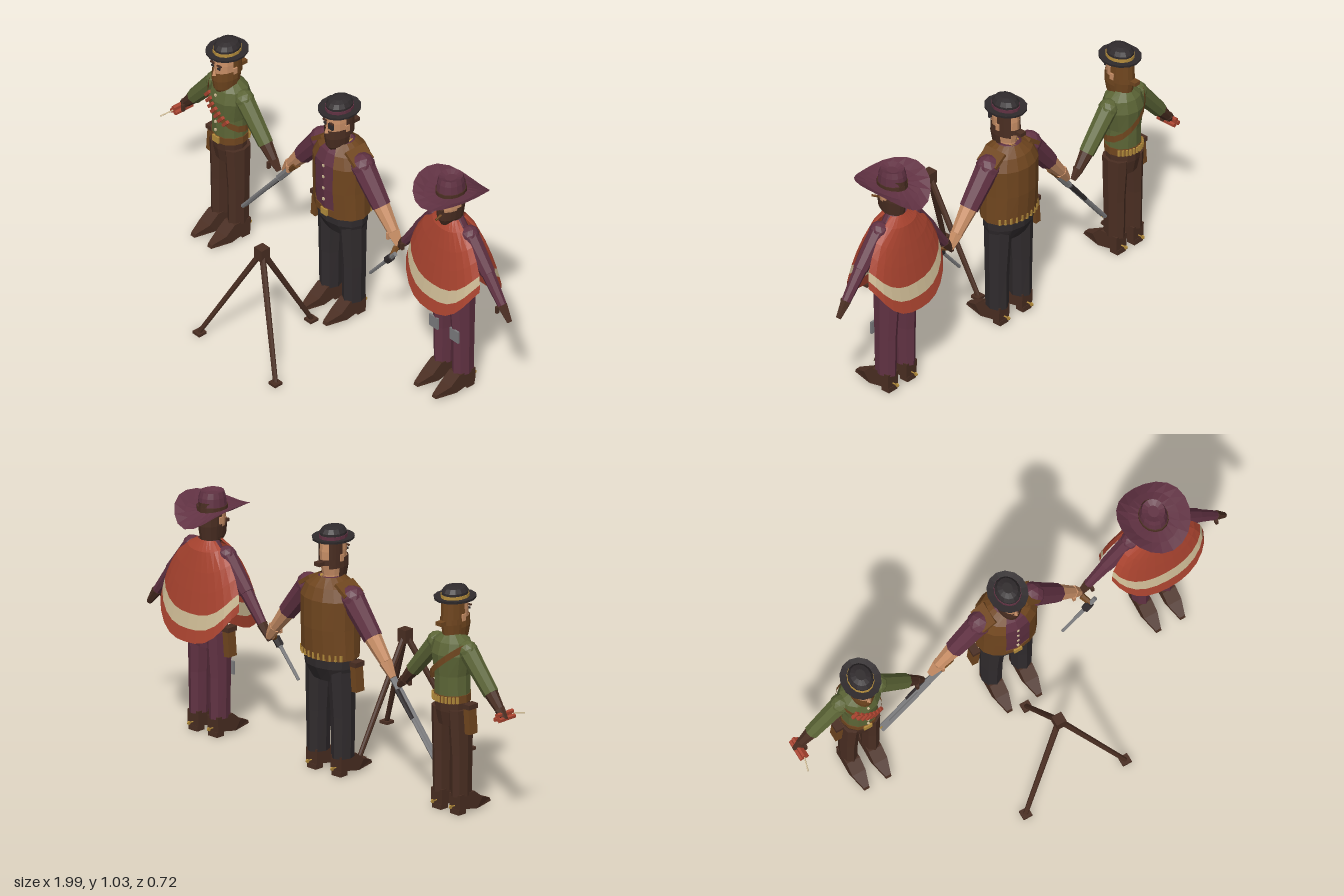
import * as THREE from 'three';

const mat = (name, color) => new THREE.MeshStandardMaterial({ name, color, flatShading: true, side: THREE.DoubleSide });
const V = (x, y, z = 0) => new THREE.Vector3(x, y, z);

export function createModel() {
  const M = {
    plum: mat('plum', 0x613243), red: mat('red', 0xa9432f), cream: mat('cream', 0xcdba94),
    olive: mat('olive', 0x5c6536), tan: mat('tan leather', 0x70461f), brown: mat('dark brown', 0x4a2e22),
    coal: mat('charcoal', 0x302b2d), skin: mat('skin', 0xc98f66), steel: mat('steel', 0x7c7c7e), gold: mat('brass', 0xb58d3c),
  };

  const put = (parent, name, geo, m, x = 0, y = 0, z = 0) => {
    const mesh = new THREE.Mesh(geo, m);
    mesh.name = name;
    mesh.position.set(x, y, z);
    parent.add(mesh);
    return mesh;
  };
  const box = (parent, name, m, w, h, d, x, y, z) => put(parent, name, new THREE.BoxGeometry(w, h, d), m, x, y, z);

  // Oval rings [y, rx, rz, dx, dz] from bottom to top; angle 0 faces front
  const loft = (parent, name, m, rings, { n = 12, a0 = 0, a1 = Math.PI * 2, warp } = {}) => {
    const pos = [], idx = [], full = a1 - a0 > 6.28;
    rings.forEach(([y, rx, rz, dx = 0, dz = 0]) => {
      for (let i = 0; i <= n; i++) {
        const a = a0 + (a1 - a0) * i / n;
        const p = V(rx * Math.sin(a) + dx, y, rz * Math.cos(a) + dz);
        if (warp) warp(p, a);
        pos.push(p.x, p.y, p.z);
      }
    });
    const w = n + 1;
    for (let j = 0; j < rings.length - 1; j++)
      for (let i = 0; i < n; i++) {
        const k = j * w + i;
        idx.push(k, k + 1, k + w + 1, k, k + w + 1, k + w);
      }
    if (full && !warp) {
      const t = (rings.length - 1) * w;
      for (let i = 1; i < n - 1; i++) idx.push(0, i + 1, i, t, t + i, t + i + 1);
    }
    const g = new THREE.BufferGeometry();
    g.setAttribute('position', new THREE.Float32BufferAttribute(pos, 3));
    g.setIndex(idx);
    g.computeVertexNormals();
    return put(parent, name, g, m);
  };

  // Tapered rod between two points
  const rod = (parent, name, m, a, b, ra, rb = ra, n = 8) => {
    const d = b.clone().sub(a);
    const mesh = put(parent, name, new THREE.CylinderGeometry(rb, ra, d.length(), n), m);
    mesh.position.copy(a).addScaledVector(d, 0.5);
    mesh.quaternion.setFromUnitVectors(V(0, 1, 0), d.normalize());
    return mesh;
  };

  // Pointed boot with heel and spur
  const bootShape = new THREE.Shape([[-0.155, 0.012], [-0.15, 0.026], [-0.09, 0.05], [-0.045, 0.085], [0.04, 0.085],
    [0.038, 0.02], [0, 0.02], [-0.06, 0.008]].map(p => new THREE.Vector2(...p)));
  const bootGeo = new THREE.ExtrudeGeometry(bootShape, { depth: 0.06, bevelEnabled: false });
  bootGeo.translate(0, 0, -0.03).rotateY(Math.PI / 2);
  const bp = bootGeo.attributes.position;
  for (let i = 0; i < bp.count; i++) if (bp.getZ(i) > 0.1) bp.setX(i, bp.getX(i) * 0.4);
  const boot = (g, m, x) => {
    put(g, 'boot', bootGeo, m, x);
    box(g, 'bootHeel', m, 0.05, 0.022, 0.04, x, 0.011, -0.02);
    rod(g, 'spur', M.gold, V(x, 0.037, -0.03), V(x, 0.037, -0.06), 0.003);
    rod(g, 'spurWheel', M.gold, V(x - 0.003, 0.037, -0.062), V(x + 0.003, 0.037, -0.062), 0.008);
  };

  // Trousers, boots, arms, belt and holster shared by all three figures
  const body = (name, x, o) => {
    const g = new THREE.Group();
    g.name = name;
    g.position.set(x, 0, -0.215);
    const { waist: w, hip, legX, legR, arm } = o;
    for (const s of [-1, 1]) {
      loft(g, 'trouserLeg', o.trousers, [[0.075, legR * 0.93, 0.05, s * legX], [0.25, legR, 0.052, s * legX],
        [w - 0.04, legR * 1.15, 0.062, s * legX * 0.9]], { n: 8 });
      boot(g, o.bootMat, s * legX);
      const [a, b, c, d] = arm.map(p => V(p[0] * s, p[1]));
      put(g, 'shoulder', new THREE.IcosahedronGeometry(o.armR * 1.05, 1), o.sleeve).position.copy(a);
      rod(g, 'upperSleeve', o.sleeve, a, b, o.armR, o.armR * 0.8);
      rod(g, 'forearm', o.forearm, b, c, o.armR * 0.72, o.armR * 0.5);
      rod(g, 'hand', o.hand, c, d, o.armR * 0.58, o.armR * 0.3, 6);
      box(g, 'thumb', o.hand, 0.012, 0.03, 0.014, c.x - s * 0.005, c.y - 0.015, 0.022);
    }
    loft(g, 'hips', o.trousers, [[w - 0.11, hip * 0.85, 0.055], [w - 0.05, hip * 0.98, o.depth * 0.93], [w + 0.01, hip, o.depth * 0.95]]);
    loft(g, 'belt', M.tan, [[w - 0.012, hip * 1.05, o.depth * 1.04], [w + 0.02, hip * 1.05, o.depth * 1.04]]);
    box(g, 'buckle', M.gold, 0.036, 0.03, 0.008, 0, w + 0.004, o.depth * 1.05);
    for (let i = 0; i < 11; i++) {
      const a = Math.PI + (i - 5) * 0.2;
      box(g, 'beltCartridge', M.gold, 0.008, 0.026, 0.008, hip * 1.07 * Math.sin(a), w + 0.004, o.depth * 1.06 * Math.cos(a));
    }
    const hx = -hip - 0.025;
    box(g, 'holster', M.tan, 0.028, 0.12, 0.045, hx, w - 0.075, 0).rotation.z = -0.08;
    box(g, 'holsterFlap', M.brown, 0.034, 0.02, 0.052, hx, w - 0.02, 0);
    return g;
  };

  // Head with nose, ears and eyes; y is the chin height
  const head = (g, y, hair) => {
    const h = new THREE.Group();
    h.name = 'head';
    h.position.set(0, y, 0.015);
    g.add(h);
    loft(h, 'face', M.skin, [[-0.035, 0.033, 0.035, 0, -0.015], [0, 0.036, 0.05], [0.05, 0.043, 0.062], [0.1, 0.044, 0.064], [0.15, 0.04, 0.058]]);
    if (hair) loft(h, 'hair', hair, [[-0.01, 0.04, 0.058], [0.05, 0.047, 0.068], [0.15, 0.046, 0.066]], { n: 8, a0: 1.45, a1: Math.PI * 2 - 1.45 });
    put(h, 'nose', new THREE.ConeGeometry(0.012, 0.036, 4), M.skin, 0, 0.076, 0.068);
    for (const s of [-1, 1]) {
      box(h, 'ear', M.skin, 0.01, 0.028, 0.018, s * 0.047, 0.072, 0);
      box(h, 'eye', M.coal, 0.014, 0.008, 0.006, s * 0.018, 0.092, 0.06);
      box(h, 'eyebrow', M.brown, 0.022, 0.006, 0.008, s * 0.02, 0.106, 0.06);
    }
    return h;
  };
  const mask = (h, m) => {
    loft(h, 'faceScarf', m, [[-0.045, 0.022, 0.045], [-0.015, 0.042, 0.064], [0.03, 0.049, 0.072], [0.07, 0.048, 0.071]], { n: 10, a0: -1.75, a1: 1.75 });
    loft(h, 'scarfTie', m, [[0.045, 0.048, 0.07], [0.068, 0.048, 0.07]], { n: 8, a0: 1.7, a1: 4.6 });
    box(h, 'scarfKnot', m, 0.03, 0.016, 0.03, 0, 0.055, -0.08);
  };
  const bowler = (h, y, m, band) => {
    loft(h, 'hatBrim', m, [[y, 0.06, 0.07], [y + 0.006, 0.08, 0.09], [y + 0.016, 0.082, 0.092], [y + 0.012, 0.05, 0.06]], { n: 14 });
    loft(h, 'hatBand', band, [[y + 0.008, 0.053, 0.063], [y + 0.026, 0.053, 0.063]], { n: 14 });
    loft(h, 'hatCrown', m, [[y, 0.05, 0.06], [y + 0.036, 0.051, 0.06], [y + 0.053, 0.04, 0.048], [y + 0.06, 0.02, 0.025]], { n: 14 });
  };

  const model = new THREE.Group();
  model.name = 'outlawTrio';

  // Green-shirted figure
  const a = body('greenShirtFigure', -0.685, { waist: 0.48, hip: 0.075, depth: 0.072, legX: 0.05, legR: 0.036, armR: 0.04,
    trousers: M.brown, bootMat: M.brown, sleeve: M.olive, forearm: M.brown, hand: M.brown,
    arm: [[0.085, 0.69], [0.215, 0.54], [0.262, 0.485], [0.295, 0.45]] });
  loft(a, 'shirt', M.olive, [[0.475, 0.076, 0.072], [0.58, 0.074, 0.074], [0.67, 0.092, 0.083], [0.72, 0.08, 0.068], [0.75, 0.038, 0.04]]);
  const slope = -0.85;
  loft(a, 'bandolier', M.tan, [[0.615, 0.094, 0.086], [0.645, 0.094, 0.086]], { n: 16, warp: p => { p.y += slope * p.x; } });
  for (let i = 0; i < 7; i++) {
    const x = -0.055 + i * 0.018;
    box(a, 'bandolierCartridge', M.red, 0.013, 0.038, 0.014, x, 0.63 + slope * x, 0.086 * Math.sqrt(1 - (x / 0.094) ** 2)).rotation.z = -0.7;
  }
  for (const y of [0.53, 0.57, 0.7]) box(a, 'button', M.cream, 0.009, 0.009, 0.008, 0, y, 0.078);
  const ha = head(a, 0.745, M.tan);
  mask(ha, M.tan);
  bowler(ha, 0.138, M.coal, M.gold);
  // Bundle of red sticks with a fuse
  for (const [dx, dy] of [[0, 0.01], [-0.011, -0.008], [0.011, -0.008]])
    rod(a, 'redStick', M.red, V(-0.28 + dx, 0.46 + dy, -0.035), V(-0.28 + dx, 0.46 + dy, 0.055), 0.01, 0.01, 6);
  rod(a, 'fuse', M.cream, V(-0.28, 0.46, 0.055), V(-0.295, 0.45, 0.11), 0.003, 0.003, 5);

  // Vested figure
  const b = body('vestFigure', -0.01, { waist: 0.505, hip: 0.122, depth: 0.093, legX: 0.068, legR: 0.046, armR: 0.05,
    trousers: M.coal, bootMat: M.brown, sleeve: M.plum, forearm: M.skin, hand: M.skin,
    arm: [[0.12, 0.755], [0.235, 0.615], [0.305, 0.53], [0.345, 0.475]] });
  const torso = [[0.5, 0.125, 0.092], [0.62, 0.122, 0.1], [0.74, 0.125, 0.1], [0.79, 0.1, 0.08], [0.825, 0.045, 0.045]];
  loft(b, 'shirt', M.plum, torso);
  loft(b, 'vest', M.tan, torso.map(([y, x, z]) => [y + 0.003, x + 0.008, z + 0.008]), { n: 14, a0: 0.42, a1: Math.PI * 2 - 0.42 });
  for (const s of [-1, 1]) box(b, 'vestShoulder', M.tan, 0.07, 0.016, 0.1, s * 0.1, 0.79, 0).rotation.z = -s * 0.6;
  for (let i = 0; i < 4; i++) box(b, 'button', M.cream, 0.01, 0.01, 0.008, 0, 0.57 + i * 0.055, 0.1);
  loft(b, 'collar', M.gold, [[0.805, 0.05, 0.05], [0.825, 0.042, 0.045]]);
  const hb = head(b, 0.832);
  loft(hb, 'sideHair', M.brown, [[0.03, 0.047, 0.068], [0.15, 0.047, 0.067]], { n: 4, a0: 1.5, a1: 2.5 });
  loft(hb, 'sideHair', M.brown, [[0.03, 0.047, 0.068], [0.15, 0.047, 0.067]], { n: 4, a0: -2.5, a1: -1.5 });
  mask(hb, M.brown);
  box(hb, 'eyePatch', M.coal, 0.026, 0.024, 0.009, 0.018, 0.092, 0.062);
  bowler(hb, 0.138, M.coal, M.plum);
  // Long double-barrelled gun
  const along = (p, q, t, dz = 0) => p.clone().lerp(q, t).add(V(0, 0, dz));
  const g0 = V(-0.27, 0.545, 0.012), g1 = V(-0.575, 0.18, 0.012);
  rod(b, 'gunStock', M.tan, along(g0, g1, -0.03), along(g0, g1, 0.14), 0.018, 0.012, 6);
  rod(b, 'gunReceiver', M.steel, along(g0, g1, 0.12), along(g0, g1, 0.32), 0.015, 0.015, 6);
  rod(b, 'gunForeEnd', M.coal, along(g0, g1, 0.32, -0.012), along(g0, g1, 0.6, -0.012), 0.011, 0.009, 6);
  for (const dz of [-0.008, 0.008]) rod(b, 'gunBarrel', M.steel, along(g0, g1, 0.3, dz), along(g0, g1, 1, dz), 0.009, 0.009, 6);
  rod(b, 'gunSight', M.gold, along(g0, g1, 0.98), along(g0, g1, 1.005), 0.009, 0.009, 5);

  // Poncho figure
  const c = body('ponchoFigure', 0.66, { waist: 0.48, hip: 0.085, depth: 0.065, legX: 0.055, legR: 0.038, armR: 0.039,
    trousers: M.plum, bootMat: M.brown, sleeve: M.plum, forearm: M.plum, hand: M.brown,
    arm: [[0.095, 0.765], [0.205, 0.635], [0.29, 0.525], [0.335, 0.465]] });
  loft(c, 'shirt', M.plum, [[0.48, 0.085, 0.065], [0.66, 0.085, 0.065], [0.76, 0.075, 0.05], [0.815, 0.035, 0.035]]);
  // Poncho rings hold the distance down the cloth, turned into a hem that rises at the sides
  const drape = (p, ang) => {
    const s = Math.abs(Math.sin(ang)) ** 3, k = Math.abs(Math.cos(ang));
    p.y = 0.818 - p.y * (0.405 - 0.16 * s);
    p.z *= k ** -0.4;
  };
  const bands = [
    ['ponchoBody', M.red, [[0.72, 0.202, 0.115], [0.5, 0.178, 0.1], [0.3, 0.146, 0.085], [0.1, 0.09, 0.068], [0, 0.045, 0.042]]],
    ['ponchoStripe', M.cream, [[0.87, 0.209, 0.128], [0.72, 0.202, 0.115]]],
    ['ponchoHem', M.red, [[1, 0.213, 0.14], [0.87, 0.209, 0.128]]],
  ];
  for (const [name, m, rings] of bands)
    for (const mid of [0, Math.PI]) loft(c, name, m, rings, { n: 12, a0: mid - 1.4, a1: mid + 1.4, warp: drape });
  for (const s of [-1, 1]) box(c, 'kneePatch', M.steel, 0.05, 0.055, 0.008, s * 0.062, 0.275, 0.051);
  const hc = head(c, 0.825, M.brown);
  loft(hc, 'beard', M.brown, [[-0.03, 0.025, 0.05], [0, 0.042, 0.066], [0.045, 0.048, 0.069]], { n: 10, a0: -1.7, a1: 1.7 });
  box(hc, 'moustache', M.brown, 0.05, 0.012, 0.014, 0, 0.052, 0.066);
  rod(hc, 'cigar', M.tan, V(0.012, 0.03, 0.06), V(0.016, 0.022, 0.095), 0.005, 0.005, 6);
  // Wide hat with rolled-up sides and dropped back
  loft(hc, 'hatBrim', M.plum, [[0.105, 0.145, 0.16], [0.113, 0.1, 0.115], [0.115, 0.05, 0.058]], { n: 20, warp: (p, ang) => {
    const u = Math.max(0, (Math.hypot(p.x, p.z) - 0.055) / 0.1);
    p.y += u * u * 0.06 * Math.sin(ang) ** 2 - (Math.cos(ang) < 0 ? u * 0.04 * Math.cos(ang) ** 2 : 0);
  } });
  loft(hc, 'hatBand', M.brown, [[0.108, 0.06, 0.068], [0.13, 0.059, 0.067]], { n: 14 });
  loft(hc, 'hatCrown', M.plum, [[0.105, 0.058, 0.066], [0.165, 0.052, 0.058], [0.188, 0.046, 0.05], [0.178, 0.022, 0.026]], { n: 14 });
  // Revolver
  const r0 = V(-0.29, 0.485, 0.055), r1 = V(-0.44, 0.31, 0.055);
  rod(c, 'pistolGrip', M.tan, V(-0.33, 0.475, 0.015), along(r0, r1, 0.15), 0.014, 0.011, 6);
  rod(c, 'pistolFrame', M.steel, along(r0, r1, 0), along(r0, r1, 0.35), 0.01, 0.01, 6);
  rod(c, 'pistolDrum', M.coal, along(r0, r1, 0.15), along(r0, r1, 0.32), 0.017, 0.017, 6);
  rod(c, 'pistolBarrel', M.steel, along(r0, r1, 0.3), along(r0, r1, 1), 0.008, 0.007, 6);

  // Tripod stand
  const t = new THREE.Group();
  t.name = 'tripod';
  t.position.set(-0.01, 0, 0.212);
  box(t, 'tripodHead', M.brown, 0.044, 0.055, 0.044, 0, 0.462, 0);
  for (const [x, z] of [[0, -0.262], [-0.228, 0.13], [0.228, 0.13]]) {
    rod(t, 'tripodLeg', M.brown, V(x, 0.012, z), V(x * 0.04, 0.45, z * 0.04), 0.01, 0.013, 8);
    box(t, 'tripodFoot', M.brown, 0.04, 0.012, 0.04, x, 0.008, z);
  }
  model.add(a, b, c, t);
  return model;
}
